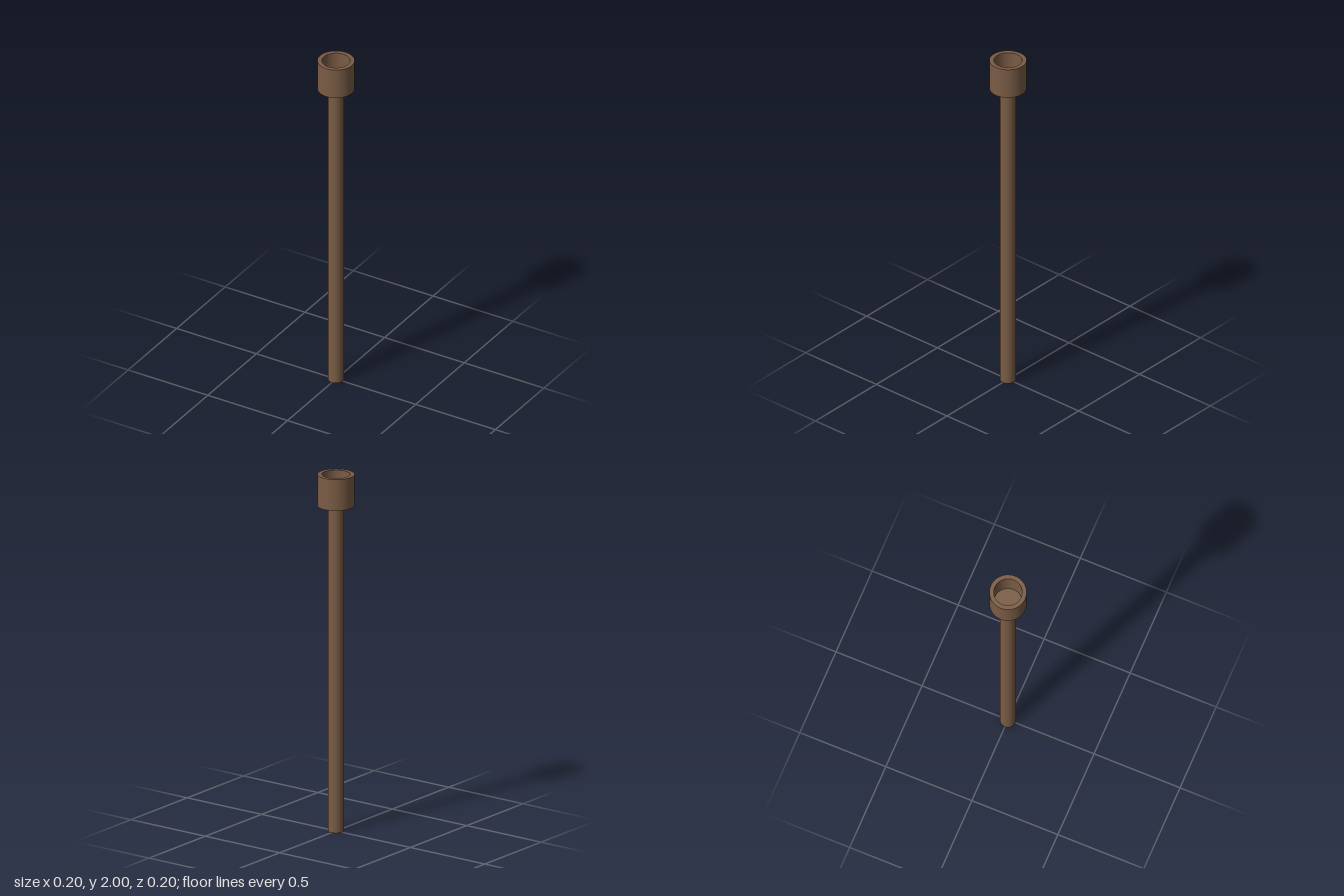
import * as THREE from 'three';
import { toCreasedNormals } from 'three/addons/utils/BufferGeometryUtils.js';

const SEGMENTS = 48;
const STEM_RADIUS = 0.043;
const CUP_RADIUS = 0.1;
const CUP_INNER_RADIUS = 0.076;
const CUP_BOTTOM = 1.825;
const CUP_FLOOR = 1.85;
const TOP = 2;

export function createModel() {
  const group = new THREE.Group();
  const wood = new THREE.MeshStandardMaterial({ color: 0x7a5c45 });

  // Long round stem, closed at the foot
  const stem = new THREE.Mesh(
    new THREE.CylinderGeometry(STEM_RADIUS, STEM_RADIUS, CUP_BOTTOM, SEGMENTS),
    wood
  );
  stem.name = 'stem';
  stem.position.y = CUP_BOTTOM / 2;
  group.add(stem);

  // Hollow cup: underside, outer wall, flat rim, inner wall, floor
  const profile = [
    [0, CUP_BOTTOM],
    [CUP_RADIUS, CUP_BOTTOM],
    [CUP_RADIUS, TOP],
    [CUP_INNER_RADIUS, TOP],
    [CUP_INNER_RADIUS, CUP_FLOOR],
    [0, CUP_FLOOR],
  ].map(([r, y]) => new THREE.Vector2(r, y));
  const cup = new THREE.Mesh(
    toCreasedNormals(new THREE.LatheGeometry(profile, SEGMENTS), Math.PI / 6),
    wood
  );
  cup.name = 'cup';
  group.add(cup);

  return group;
}
